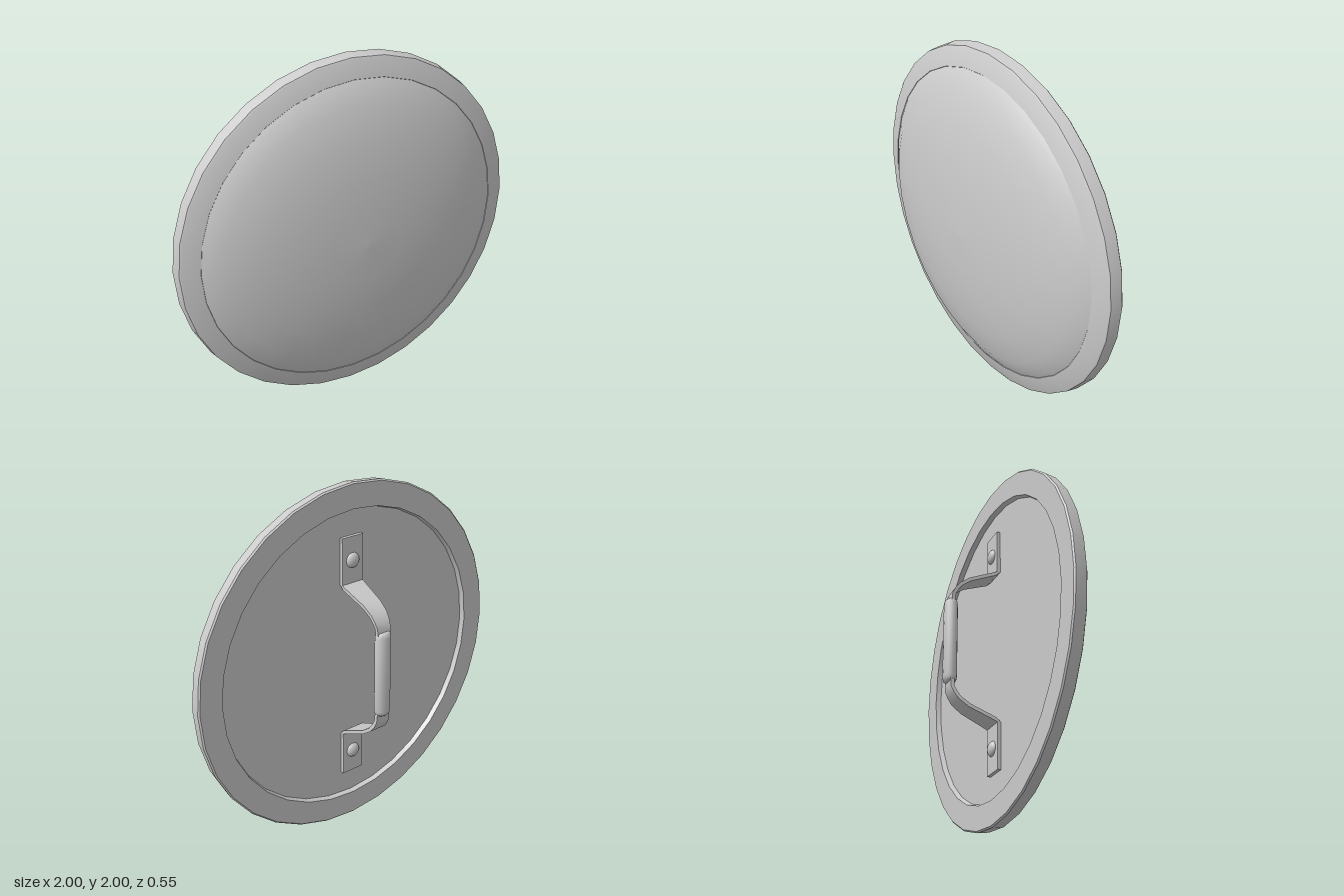
import * as THREE from 'three';
import { toCreasedNormals } from 'three/addons/utils/BufferGeometryUtils.js';

const material = new THREE.MeshStandardMaterial({ color: 0xcccccc });

// Turned shape: profile pairs are [radius, height along the axis]
const turned = (profile, segments) =>
  new THREE.LatheGeometry(profile.map(([r, h]) => new THREE.Vector2(r, h)), segments);

// Flat bar swept along points [y, z, half width], lying in the x = 0 plane
function sweepStrap(path, thickness) {
  const positions = [];
  const indices = [];
  path.forEach(([y, z, w], i) => {
    const [ya, za] = path[Math.max(i - 1, 0)];
    const [yb, zb] = path[Math.min(i + 1, path.length - 1)];
    const t = new THREE.Vector2(yb - ya, zb - za).normalize();
    const ny = -t.y * thickness / 2;
    const nz = t.x * thickness / 2;
    positions.push(-w, y + ny, z + nz, w, y + ny, z + nz, w, y - ny, z - nz, -w, y - ny, z - nz);
    if (i === 0) return;
    const a = (i - 1) * 4;
    for (let k = 0; k < 4; k++) {
      const p = a + k, q = a + (k + 1) % 4;
      indices.push(p, q, p + 4, q, q + 4, p + 4);
    }
  });
  const e = (path.length - 1) * 4;
  indices.push(0, 2, 1, 0, 3, 2, e, e + 1, e + 2, e, e + 2, e + 3);
  const geometry = new THREE.BufferGeometry();
  geometry.setAttribute('position', new THREE.Float32BufferAttribute(positions, 3));
  geometry.setIndex(indices);
  return toCreasedNormals(geometry, Math.PI / 5);
}

export function createModel() {
  const group = new THREE.Group();
  const add = (name, geometry, x = 0, y = 0, z = 0) => {
    const mesh = new THREE.Mesh(geometry, material);
    mesh.name = name;
    mesh.position.set(x, y, z);
    group.add(mesh);
    return mesh;
  };

  // Rim with the recessed back plate
  const rim = turned([
    [0, 0.028], [0.85, 0.028], [0.858, 0], [0.992, 0], [1, 0.008], [0.99, 0.072], [0.98, 0.078], [0.885, 0.105], [0.87, 0.09],
  ], 32).rotateX(Math.PI / 2);
  add('rim', toCreasedNormals(rim, Math.PI / 6), 0, 1, 0);

  // Bulging front
  const dome = turned([
    [0.89, 0.098], [0.86, 0.12], [0.77, 0.17], [0.6, 0.218], [0.4, 0.25], [0.2, 0.265], [0, 0.271],
  ], 32).rotateX(Math.PI / 2);
  add('dome', dome, 0, 1, 0);

  // Handle strap with a mounting plate at each end
  const upper = [
    [1.71, 0.018, 0.07], [1.45, 0.018, 0.07], [1.435, 0, 0.07], [1.375, -0.145, 0.058],
    [1.338, -0.198, 0.053], [1.305, -0.222, 0.049], [1.275, -0.236, 0.045], [1.23, -0.238, 0.042],
  ];
  const lower = upper.map(([y, z, w]) => [2 - y, z, w]).reverse();
  add('handleStrap', sweepStrap([...upper, ...lower], 0.02));

  // Oval grip with rounded ends
  const grip = turned([
    [0, -0.245], [0.024, -0.245], [0.033, -0.237], [0.037, -0.215],
    [0.037, 0.215], [0.033, 0.237], [0.024, 0.245], [0, 0.245],
  ], 16).scale(1.3, 1, 1);
  add('grip', toCreasedNormals(grip, Math.PI / 4), 0, 1.005, -0.238);

  // Rivets
  for (const side of [1, -1]) {
    const rivet = new THREE.SphereGeometry(0.043, 16, 6, 0, Math.PI * 2, 0, Math.PI / 2)
      .scale(1, 0.6, 1).rotateX(-Math.PI / 2);
    add(side > 0 ? 'upperRivet' : 'lowerRivet', rivet, 0, 1 + side * 0.578, 0.01);
  }
  return group;
}
